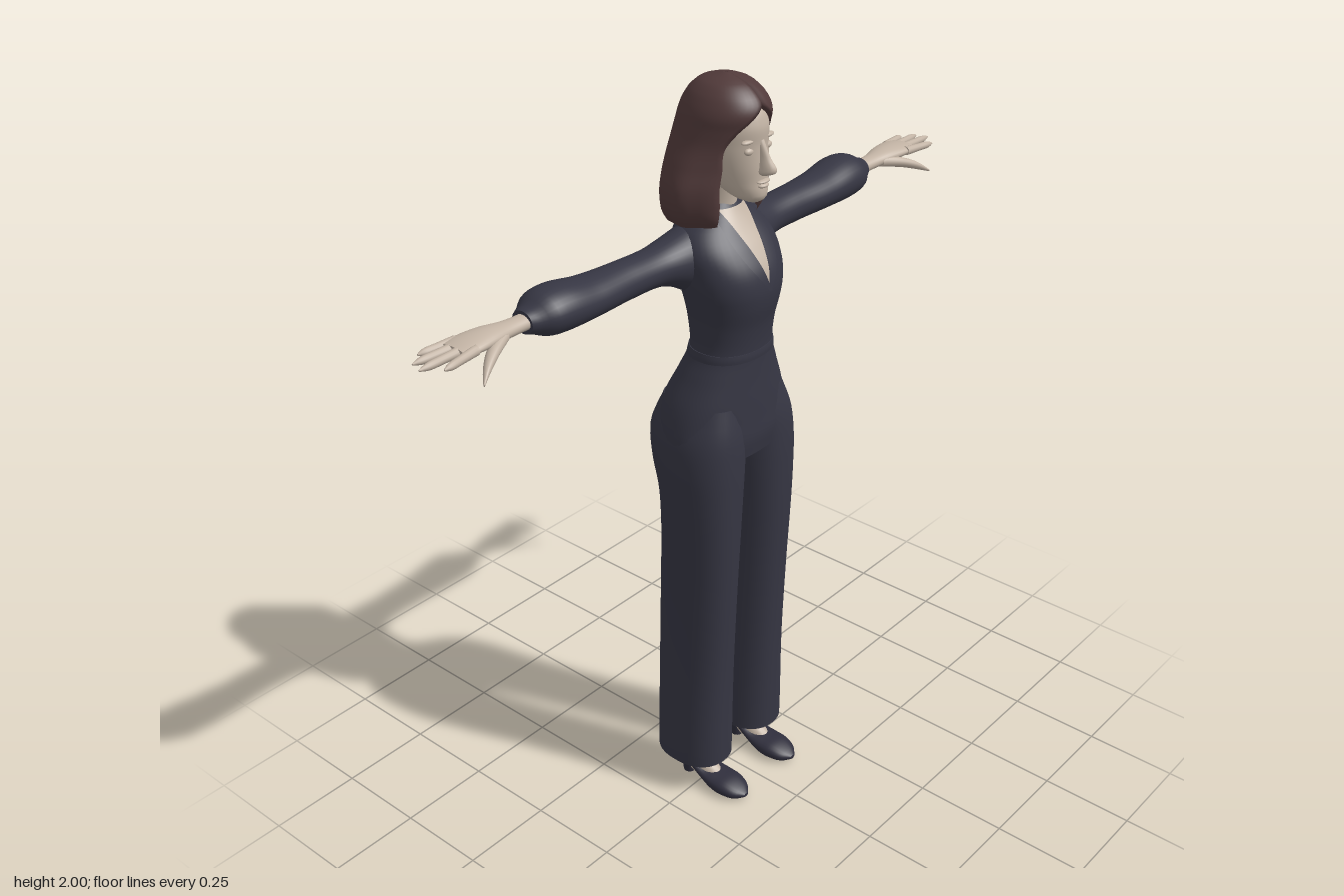
import * as THREE from 'three';

const suit = new THREE.MeshStandardMaterial({ color: 0x363643, side: THREE.DoubleSide });
suit.name = 'navySuit';
const skinTone = new THREE.MeshStandardMaterial({ color: 0xc2b3a4, side: THREE.DoubleSide });
skinTone.name = 'skin';
const hairTone = new THREE.MeshStandardMaterial({ color: 0x513a3a, side: THREE.DoubleSide });
hairTone.name = 'brownHair';
const shoeTone = new THREE.MeshStandardMaterial({ color: 0x2f2e3c, side: THREE.DoubleSide });
shoeTone.name = 'shoeLeather';

// Smooth sampler through rows of [t, ...values]
function sampler(rows) {
  const size = rows[0].length - 1;
  const curve = new THREE.CubicInterpolant(rows.map(r => r[0]), rows.flatMap(r => r.slice(1)), size);
  return t => Array.from(curve.evaluate(t));
}

// Closed surface over equal-length rings, wound outward
function surface(rings, caps = [true, true]) {
  const n = rings[0].length, pos = rings.flat(2), idx = [];
  for (let i = 0; i < rings.length - 1; i++)
    for (let j = 0; j < n; j++) {
      const a = i * n + j, b = i * n + (j + 1) % n;
      idx.push(a, a + n, b, b, a + n, b + n);
    }
  [rings[0], rings[rings.length - 1]].forEach((ring, end) => {
    if (!caps[end]) return;
    const base = pos.length / 3;
    pos.push(...ring.flat());
    pos.push(...[0, 1, 2].map(k => ring.reduce((sum, p) => sum + p[k], 0) / n));
    for (let j = 0; j < n; j++) {
      const a = base + j, b = base + (j + 1) % n;
      idx.push(...(end ? [a, base + n, b] : [a, b, base + n]));
    }
  });
  const p = i => new THREE.Vector3().fromArray(pos, i * 3);
  let volume = 0;
  for (let i = 0; i < idx.length; i += 3) volume += p(idx[i]).dot(p(idx[i + 1]).cross(p(idx[i + 2])));
  if (volume < 0) idx.reverse();
  const g = new THREE.BufferGeometry();
  g.setAttribute('position', new THREE.Float32BufferAttribute(pos, 3));
  g.setIndex(idx);
  g.computeVertexNormals();
  return g;
}

// Loft along an axis; rows are [t, aMin, aMax, bMin, bMax], side mirrors x
function loft(rows, axis, { side = 1, steps = 30, seg = 32, power = 2 } = {}) {
  const at = sampler(rows), t0 = rows[0][0], t1 = rows[rows.length - 1][0], rings = [];
  const bend = v => Math.sign(v) * Math.abs(v) ** (2 / power);
  for (let i = 0; i <= steps; i++) {
    const t = t0 + (t1 - t0) * i / steps, [a0, a1, b0, b1] = at(t), ring = [];
    for (let j = 0; j < seg; j++) {
      const q = j / seg * Math.PI * 2;
      const a = (a0 + a1) / 2 + (a1 - a0) / 2 * bend(Math.cos(q));
      const b = (b0 + b1) / 2 + (b1 - b0) / 2 * bend(Math.sin(q));
      const [x, y, z] = axis === 'y' ? [a, t, b] : axis === 'x' ? [t, a, b] : [a, b, t];
      ring.push([x * side, y, z]);
    }
    rings.push(ring);
  }
  return surface(rings);
}

const TORSO_POWER = 2.2;
const torsoRows = [ // y, half width, back, front
  [1.05, 0.18, -0.125, 0.1], [1.1, 0.187, -0.142, 0.108], [1.15, 0.181, -0.146, 0.107], [1.2, 0.167, -0.135, 0.105],
  [1.27, 0.135, -0.103, 0.101], [1.33, 0.11, -0.08, 0.1], [1.4, 0.11, -0.084, 0.108], [1.46, 0.12, -0.095, 0.122],
  [1.5, 0.13, -0.104, 0.125], [1.55, 0.137, -0.112, 0.114], [1.6, 0.137, -0.117, 0.084],
  [1.64, 0.115, -0.117, 0.052], [1.67, 0.078, -0.108, 0.03], [1.695, 0.05, -0.09, 0.014],
].map(([y, w, back, front]) => [y, -w, w, back, front]);
const torsoAt = sampler(torsoRows);

// Front of the torso at (x, y)
function chestZ(x, y) {
  const [, w, back, front] = torsoAt(y), u = Math.min(Math.abs(x) / w, 0.97);
  return (back + front) / 2 + (front - back) / 2 * (1 - u ** TORSO_POWER) ** (1 / TORSO_POWER);
}

// Thin panel lying on the chest between two edge curves
function chestPanel(left, right, y0, y1, lift) {
  const g = new THREE.PlaneGeometry(1, 1, 12, 24), p = g.attributes.position;
  for (let i = 0; i < p.count; i++) {
    const y = y0 + (y1 - y0) * (p.getY(i) + 0.5);
    const x = THREE.MathUtils.lerp(left(y), right(y), p.getX(i) + 0.5);
    p.setXYZ(i, x, y, chestZ(x, y) + lift);
  }
  g.computeVertexNormals();
  return g;
}

function hairGeometry() {
  const rows = [ // y, half width, front, back, opening angle, inner scale
    [1.655, 0.122, 0.045, -0.142, 0.62, 1], [1.675, 0.137, 0.055, -0.146, 0.6, 0.9], [1.71, 0.149, 0.062, -0.146, 0.58, 0.82],
    [1.75, 0.149, 0.068, -0.147, 0.62, 0.8], [1.8, 0.131, 0.075, -0.147, 0.66, 0.8], [1.85, 0.111, 0.088, -0.139, 0.76, 0.82],
    [1.89, 0.102, 0.1, -0.129, 0.58, 0.85], [1.92, 0.097, 0.108, -0.12, 0.3, 0.85], [1.945, 0.087, 0.101, -0.108, 0.02, 0.85],
    [1.97, 0.07, 0.08, -0.088, 0, 0.8], [1.99, 0.043, 0.046, -0.055, 0, 0.7], [2, 0.008, 0.006, -0.012, 0, 0.5],
  ];
  const at = sampler(rows), rings = [], M = 44, steps = 50;
  for (let i = 0; i <= steps; i++) {
    const y = 1.655 + 0.345 * i / steps, [w, front, back, open, inner] = at(y), ring = [];
    for (let k = 0; k < 2 * M; k++) {
      const u = (k < M ? k : 2 * M - 1 - k) / (M - 1), gap = Math.max(open, 0);
      const q = gap + u * 2 * (Math.PI - gap);
      const wave = 1 + Math.max(0, 1.9 - y) * 0.1 * Math.cos(9 * q);
      const s = (k < M ? 1 : inner) * wave;
      ring.push([w * s * Math.sin(q), y, (front + back) / 2 + (front - back) / 2 * s * Math.cos(q)]);
    }
    rings.push(ring);
  }
  return surface(rings, [false, true]);
}

export function createModel() {
  const model = new THREE.Group();
  const add = (name, geometry, material) => {
    const m = new THREE.Mesh(geometry, material);
    m.name = name;
    model.add(m);
    return m;
  };
  const ball = (name, x, y, z, sx, sy, sz) => {
    const m = add(name, new THREE.SphereGeometry(1, 16, 12), skinTone);
    m.position.set(x, y, z);
    m.scale.set(sx, sy, sz);
  };

  // Jumpsuit body with open neckline
  add('torso', loft(torsoRows, 'y', { steps: 60, seg: 48, power: TORSO_POWER }), suit);
  add('waistSeam', loft([[1.315, -0.115, 0.115, -0.086, 0.102], [1.325, -0.114, 0.114, -0.084, 0.103],
    [1.337, -0.111, 0.111, -0.081, 0.102]], 'y', { steps: 4, seg: 48, power: TORSO_POWER }), suit);
  const neckline = y => Math.max(0, (y - 1.51) / 0.17) * 0.046;
  add('chestSkin', chestPanel(y => -neckline(y), neckline, 1.51, 1.685, 0.004), skinTone);
  const lapelEdge = y => neckline(y) + 0.005 + 0.032 * Math.sin(Math.PI * Math.min(1, (y - 1.5) / 0.2));
  add('leftLapel', chestPanel(neckline, lapelEdge, 1.5, 1.69, 0.008), suit);
  add('rightLapel', chestPanel(y => -lapelEdge(y), y => -neckline(y), 1.5, 1.69, 0.008), suit);
  const collar = add('collar', new THREE.CylinderGeometry(0.055, 0.066, 0.055, 32, 1, true, 0.75, Math.PI * 2 - 1.5), suit);
  collar.position.set(0, 1.685, -0.035);

  // Head and neck
  add('neck', loft([[1.6, -0.05, 0.05, -0.09, 0.03], [1.68, -0.041, 0.041, -0.075, 0.018],
    [1.78, -0.042, 0.042, -0.07, 0.03]], 'y', { steps: 10 }), skinTone);
  add('head', loft([[1.713, -0.016, 0.016, 0.05, 0.092], [1.722, -0.032, 0.032, 0.02, 0.106], [1.74, -0.045, 0.045, -0.02, 0.111],
    [1.765, -0.058, 0.058, -0.06, 0.108], [1.8, -0.07, 0.07, -0.09, 0.107], [1.85, -0.078, 0.078, -0.1, 0.104],
    [1.9, -0.075, 0.075, -0.095, 0.103], [1.94, -0.055, 0.055, -0.07, 0.08], [1.965, -0.02, 0.02, -0.03, 0.03]],
  'y', { steps: 36 }), skinTone);
  add('nose', loft([[1.782, -0.008, 0.008, 0.09, 0.116], [1.79, -0.016, 0.016, 0.085, 0.138], [1.798, -0.015, 0.015, 0.085, 0.144],
    [1.825, -0.01, 0.01, 0.085, 0.126], [1.865, -0.009, 0.009, 0.085, 0.105]], 'y', { steps: 16, seg: 16 }), skinTone);
  ball('upperLip', 0, 1.767, 0.106, 0.021, 0.005, 0.011);
  ball('lowerLip', 0, 1.757, 0.106, 0.017, 0.006, 0.011);
  add('hair', hairGeometry(), hairTone);

  for (const side of [1, -1]) {
    const label = part => (side > 0 ? 'left' : 'right') + part;
    const opt = extra => ({ side, ...extra });
    ball(label('Eyelid'), side * 0.032, 1.842, 0.09, 0.015, 0.009, 0.009);
    ball(label('Brow'), side * 0.034, 1.865, 0.089, 0.022, 0.006, 0.01);

    // Sleeve gathered at the wrist
    add(label('Sleeve'), loft([[0.05, 1.5, 1.66, -0.105, 0.02], [0.1, 1.485, 1.648, -0.114, 0.025], [0.15, 1.51, 1.632, -0.114, 0.01],
      [0.2, 1.527, 1.622, -0.11, -0.002], [0.3, 1.531, 1.622, -0.11, -0.005], [0.42, 1.531, 1.627, -0.12, 0.004],
      [0.52, 1.53, 1.64, -0.13, 0.006], [0.565, 1.536, 1.633, -0.124, -0.002], [0.59, 1.548, 1.617, -0.107, -0.018],
      [0.612, 1.556, 1.61, -0.094, -0.03]], 'x', opt({ steps: 50 })), suit);

    // Hand
    add(label('Palm'), loft([[0.58, 1.565, 1.601, -0.085, -0.038], [0.66, 1.568, 1.604, -0.086, -0.034], [0.72, 1.57, 1.609, -0.1, -0.024],
      [0.78, 1.576, 1.606, -0.106, -0.018], [0.81, 1.582, 1.601, -0.1, -0.022]], 'x', opt({ steps: 16 })), skinTone);
    [[-0.028, -0.012, 0.877], [-0.051, -0.05, 0.912], [-0.073, -0.082, 0.902], [-0.094, -0.107, 0.867]].forEach(([z0, z1, tip], i) => {
      const row = (f, r) => {
        const z = z0 + (z1 - z0) * f, y = 1.591 - 0.002 * f;
        return [0.775 + (tip - 0.775) * f, y - r, y + r, z - r, z + r];
      };
      add(label('Finger' + (i + 1)), loft([row(0, 0.012), row(0.5, 0.01), row(0.85, 0.008), row(1, 0.002)], 'x',
        opt({ steps: 14, seg: 12 })), skinTone);
    });
    add(label('Thumb'), loft([[0.68, 1.57, 1.598, -0.06, -0.03], [0.74, 1.558, 1.586, -0.036, -0.002],
      [0.785, 1.545, 1.565, -0.002, 0.019], [0.81, 1.537, 1.543, 0.025, 0.03]], 'x', opt({ steps: 14, seg: 16 })), skinTone);

    // Wide trouser leg
    add(label('TrouserLeg'), loft([[0.1, 0.022, 0.19, -0.134, 0.076], [0.13, 0.022, 0.19, -0.134, 0.077], [0.4, 0.024, 0.182, -0.13, 0.084],
      [0.65, 0.024, 0.181, -0.121, 0.096], [0.85, 0.019, 0.186, -0.112, 0.106], [0.95, 0.012, 0.19, -0.116, 0.109],
      [1.04, 0.002, 0.193, -0.137, 0.11], [1.12, -0.004, 0.184, -0.147, 0.106], [1.2, 0.01, 0.15, -0.12, 0.09]],
    'y', opt({ steps: 50, seg: 36, power: 2.3 })), suit);

    // Foot and heeled shoe
    add(label('Foot'), loft([[0.03, 0.075, 0.133, -0.05, 0.075], [0.055, 0.075, 0.133, -0.065, 0.05], [0.08, 0.077, 0.131, -0.07, 0.015],
      [0.11, 0.077, 0.131, -0.072, -0.008], [0.2, 0.074, 0.134, -0.078, 0]], 'y', opt({ steps: 16, seg: 20 })), skinTone);
    add(label('Shoe'), loft([[-0.08, 0.09, 0.118, 0.062, 0.095], [-0.07, 0.077, 0.131, 0.052, 0.103], [-0.03, 0.07, 0.138, 0.044, 0.082],
      [0.02, 0.064, 0.143, 0.02, 0.054], [0.06, 0.059, 0.148, 0.002, 0.049], [0.1, 0.06, 0.147, 0, 0.046],
      [0.135, 0.074, 0.133, 0.004, 0.033], [0.153, 0.095, 0.112, 0.012, 0.022]], 'z', opt({ steps: 30, seg: 24, power: 2.3 })), shoeTone);
    const heel = add(label('Heel'), new THREE.CylinderGeometry(0.026, 0.017, 0.075, 16), shoeTone);
    heel.position.set(side * 0.104, 0.0375, -0.053);
  }
  return model;
}
